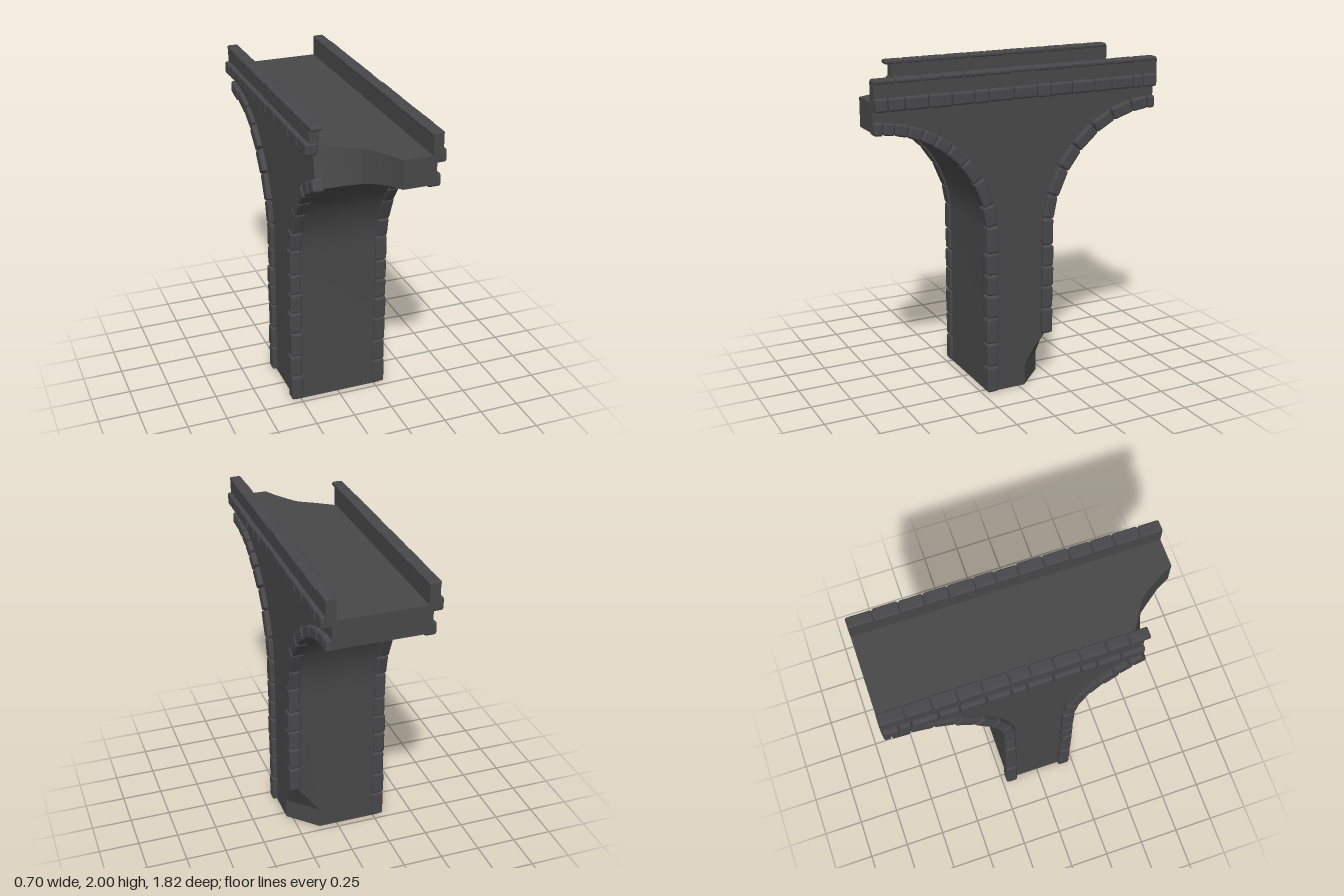
import * as THREE from 'three';
import { toCreasedNormals } from 'three/addons/utils/BufferGeometryUtils.js';
import { RoundedBoxGeometry } from 'three/addons/geometries/RoundedBoxGeometry.js';

const END = 0.91, SPRING = 1.0, DECK = 1.87, HALF = 0.285;

const wallMat = new THREE.MeshStandardMaterial({ color: 0x484848 });
wallMat.name = 'dark masonry';
const stoneMat = new THREE.MeshStandardMaterial({ color: 0x48484a });
stoneMat.name = 'trim stone';

// Small seeded jitter in -1..1
let seed = 7;
const jitter = () => {
  seed = (seed * 16807) % 2147483647;
  return (seed / 2147483647) * 2 - 1;
};

// Stations across the width: x, broken front edge at soffit, and at deck
const STATIONS = [
  [-HALF, 0.59, 0.53], [-0.25, 0.61, 0.55], [-0.15, 0.65, 0.62], [-0.05, 0.69, 0.68], [0, 0.76, 0.75],
  [0.05, 0.83, 0.83], [0.09, END, END], [0.115, END, END], [0.2, END, END], [HALF, END, END],
];

// Half-arch from the springing up to a given z
function arch(zEnd, steps = 20) {
  const r = 0.7, a1 = Math.acos((END - zEnd) / r), pts = [];
  for (let i = 0; i <= steps; i++) {
    const a = (a1 * i) / steps;
    pts.push([END - r * Math.cos(a), SPRING + r * Math.sin(a)]);
  }
  return pts;
}

// Outline (z, y) of pier, arches and deck at one station
function section([x, zSoffit, zDeck]) {
  const chip = (d) => -0.21 + Math.max(0, d - (HALF - x)); // missing corner at the pier foot
  const back = arch(END).reverse().map(([z, y]) => [-z, y]);
  return [
    [0.21, 0], ...arch(zSoffit), [zDeck, DECK], [-END, DECK], ...back,
    [-0.21, 0.36], [chip(0.1), 0.24], [chip(0.17), 0.13], [chip(0.17), 0],
  ];
}

function bodyGeometry() {
  const rings = STATIONS.map(section), n = rings[0].length, pos = [], idx = [];
  rings.forEach((ring, i) => ring.forEach(([z, y]) => pos.push(STATIONS[i][0], y, z)));
  for (let i = 0; i < rings.length - 1; i++) {
    for (let j = 0; j < n; j++) {
      const a = i * n + j, b = i * n + ((j + 1) % n);
      idx.push(a, a + n, b, b, a + n, b + n);
    }
  }
  // Side walls
  [0, rings.length - 1].forEach((i) => {
    const contour = rings[i].map(([z, y]) => new THREE.Vector2(z, y));
    for (const [a, b, c] of THREE.ShapeUtils.triangulateShape(contour, [])) {
      const [p, q, s] = [contour[a], contour[b], contour[c]];
      const ccw = (q.x - p.x) * (s.y - p.y) - (q.y - p.y) * (s.x - p.x) > 0;
      // counter-clockwise in (z, y) faces -x
      if (ccw === (i === 0)) idx.push(i * n + a, i * n + b, i * n + c);
      else idx.push(i * n + a, i * n + c, i * n + b);
    }
  });
  const g = new THREE.BufferGeometry();
  g.setAttribute('position', new THREE.Float32BufferAttribute(pos, 3));
  g.setIndex(idx);
  return toCreasedNormals(g, 0.4);
}

function stone(parent, name, w, h, d, x, y, z, tilt = 0) {
  const radius = Math.min(0.014, h * 0.4, d * 0.4);
  const m = new THREE.Mesh(new RoundedBoxGeometry(w, h, d, 2, radius), stoneMat);
  m.name = name;
  m.position.set(x, y, z);
  m.rotation.x = tilt;
  parent.add(m);
}

// Joints measured along the pier edge and then round the arch
const PIER = [0.005, 0.175, 0.325, 0.49, 0.635, 0.765, 0.9, 1.068];
const FRONT = [...PIER, 1.2, 1.37, 1.51, 1.64, 1.74, 1.83, 1.92, 2.0, 2.07, 2.127];
const BACK = [...PIER, 1.21, 1.38, 1.53, 1.69, 1.83, 1.97, 2.08, 2.127];

function edgeStones(side, end) {
  const g = new THREE.Group();
  g.name = 'archStones';
  const joints = end > 0 ? FRONT : BACK, r = 0.7225;
  for (let i = 0; i < joints.length - 1; i++) {
    const s0 = joints[i], s1 = joints[i + 1], s = (s0 + s1) / 2;
    if (side < 0 && end > 0 && s1 > 1.84) break; // collapsed corner
    if (side > 0 && end < 0 && s1 < 0.33) continue; // missing foot stones
    const a = Math.max(0, s - SPRING) / 0.7175;
    const z = END - r * Math.cos(a), y = a > 0 ? SPRING + r * Math.sin(a) : s;
    stone(g, 'archStone', 0.074 + 0.005 * jitter(), s1 - s0 - 0.004, 0.074 + 0.004 * jitter(),
      side * (0.277 + 0.003 * jitter()), y, end * z, end * a);
  }
  return g;
}

// Joints along the deck, from front to back
const BAND = [0.91, 0.83, 0.73, 0.59, 0.45, 0.31, 0.22, 0.06, -0.09, -0.18, -0.32, -0.47, -0.59, -0.74, -0.81, -0.905];
const CAP = [0.91, 0.78, 0.63, 0.5, 0.37, 0.22, 0.07, -0.06, -0.18, -0.33, -0.47, -0.61, -0.76, -0.91];

function course(name, joints, side, x, y, w, h, limit) {
  const g = new THREE.Group();
  g.name = name + 'Course';
  for (let i = 0; i < joints.length - 1; i++) {
    const z0 = Math.min(joints[i], limit), z1 = joints[i + 1];
    if (z0 - z1 < 0.03) continue;
    stone(g, name + 'Stone', w + 0.005 * jitter(), h + 0.04 * h * jitter(), z0 - z1 - 0.004,
      side * (x + 0.002 * jitter()), y, (z0 + z1) / 2);
  }
  return g;
}

export function createModel() {
  const model = new THREE.Group();
  model.name = 'brokenBridgeSection';

  const body = new THREE.Mesh(bodyGeometry(), wallMat);
  body.name = 'pierAndDeck';
  model.add(body);

  for (const side of [-1, 1]) {
    const broken = side < 0;
    // Parapet wall
    const front = broken ? 0.58 : END;
    const wall = new THREE.Mesh(new THREE.BoxGeometry(0.06, 0.145, front + END), wallMat);
    wall.name = 'parapetWall';
    wall.position.set(side * 0.29, 1.9125, (front - END) / 2);
    model.add(wall);
    // Capping and string course
    model.add(course('cap', CAP, side, 0.29, 1.987, 0.072, 0.026, broken ? 0.62 : END));
    model.add(course('band', BAND, side, 0.308, 1.86, 0.075, 0.076, broken ? 0.59 : END));
    for (const end of [-1, 1]) model.add(edgeStones(side, end));
  }
  return model;
}
